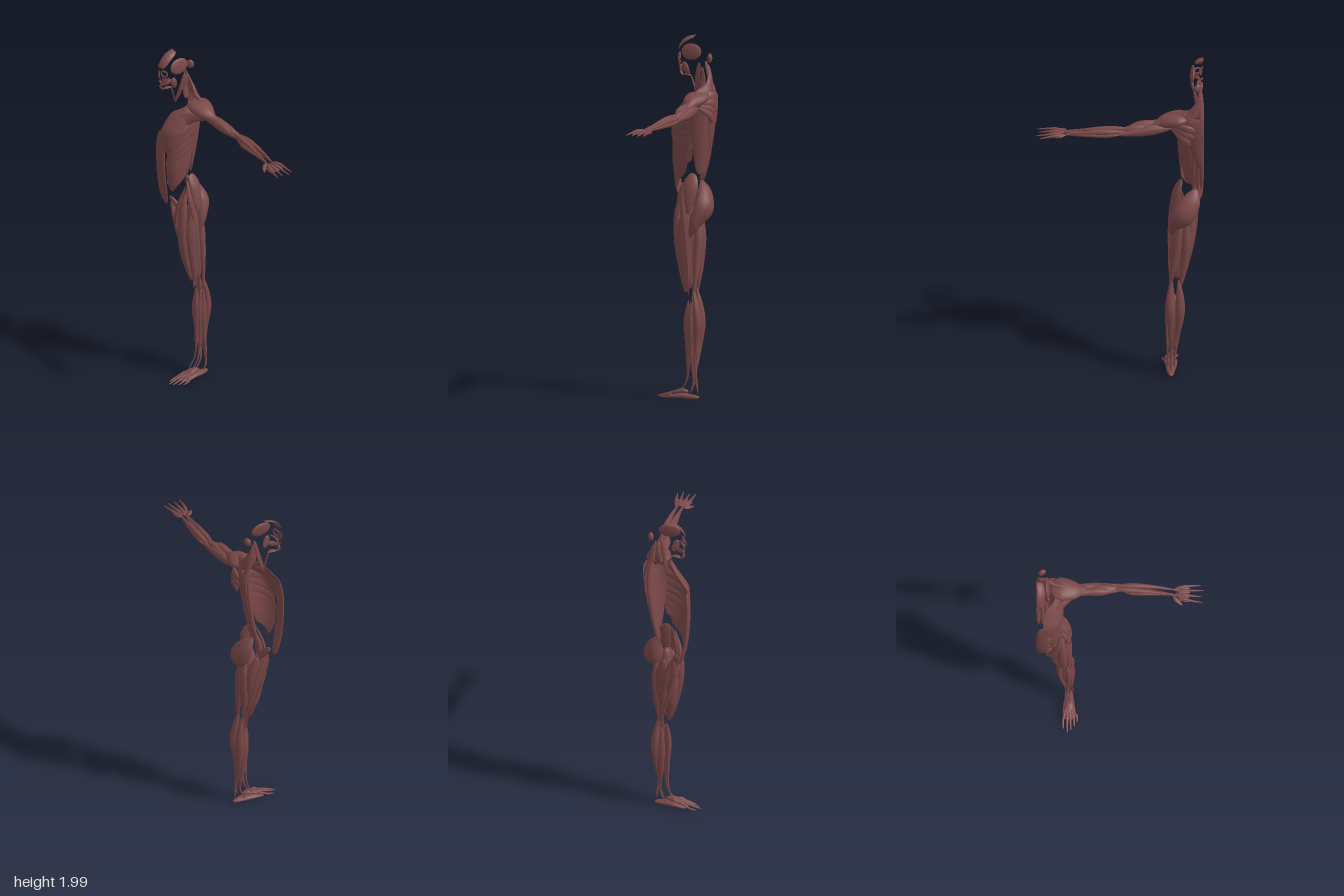
import * as THREE from 'three';

const MID = -0.467; // plane of the body's midline
const mat = new THREE.MeshStandardMaterial({ color: 0x7a4848, roughness: 0.8, side: THREE.DoubleSide });
const V = (x, y, z) => new THREE.Vector3(x, y, z);
const FRONT = [0, 0, 1], BACK = [0, 0, -1], OUT = [1, 0, 0], IN = [-1, 0, 0], UP = [0, 1, 0], DOWN = [0, -1, 0];

export function createModel() {
  const root = new THREE.Group();
  let group;
  const section = (name) => { group = new THREE.Group(); group.name = name; root.add(group); };
  const add = (name, geo) => {
    const mesh = new THREE.Mesh(geo, mat);
    mesh.name = name;
    group.add(mesh);
    return mesh;
  };

  // Smooth skin over n + 1 closed rings of m points each
  function rings(name, n, m, point) {
    const pos = [], idx = [];
    for (let i = 0; i <= n; i++) for (let j = 0; j < m; j++) {
      pos.push(...point(i, j).toArray());
      if (i < n) {
        const a = i * m + j, b = i * m + (j + 1) % m;
        idx.push(a, b, a + m, b, b + m, a + m);
      }
    }
    const geo = new THREE.BufferGeometry();
    geo.setAttribute('position', new THREE.Float32BufferAttribute(pos, 3));
    geo.setIndex(idx);
    geo.computeVertexNormals();
    return add(name, geo);
  }

  // Muscle belly: stations are [x, y, z, half width, half thickness]; "out" is the thickness direction
  function muscle(name, out, ...st) {
    const path = new THREE.CatmullRomCurve3(st.map((s) => V(s[0], s[1], s[2])));
    const size = new THREE.CatmullRomCurve3(st.map((s, i) => V(s[3], s[4], i * 0.05)));
    const n = 30, m = 14, o = V(...out);
    return rings(name, n, m, (i, j) => {
      const s = (1 - Math.cos(Math.PI * i / n)) / 2;
      const cap = Math.sqrt(Math.max(0, 1 - Math.abs(2 * s - 1) ** 8));
      const p = path.getPoint(s), r = size.getPoint(s), t = path.getTangent(s);
      const w = t.clone().cross(o).normalize(), d = w.clone().cross(t);
      const a = j / m * Math.PI * 2;
      return p.addScaledVector(w, Math.cos(a) * r.x * cap).addScaledVector(d, Math.sin(a) * r.y * cap);
    });
  }

  // Lens-shaped sheet lying on a surface; surf(u, v) gives [point, normal]
  function sheet(name, thick, surf, n = 18, h = 16) {
    return rings(name, n, 2 * h, (i, j) => {
      const u = (1 - Math.cos(Math.PI * i / n)) / 2;
      const v = (1 - Math.cos(Math.PI * (j <= h ? j : 2 * h - j) / h)) / 2;
      const fat = Math.sqrt(Math.max(0, Math.sin(Math.PI * u) * Math.sin(Math.PI * v)));
      const [p, nrm] = surf(u, v);
      return p.addScaledVector(nrm, (j <= h ? 1 : -1) * thick * fat);
    });
  }

  // Trunk envelope rows: height, front z, back z, half breadth
  const trunk = [[1.05, 0.07, -0.08, 0.1], [1.2, 0.1, -0.075, 0.12], [1.3, 0.113, -0.087, 0.127], [1.45, 0.115, -0.112, 0.138],
    [1.54, 0.107, -0.125, 0.145], [1.62, 0.052, -0.138, 0.148], [1.68, 0.003, -0.14, 0.13], [1.8, -0.02, -0.1, 0.06]];
  function trunkAt(y, a) { // a: 0 front midline, 1 back midline
    let k = 0;
    while (k < trunk.length - 2 && y > trunk[k + 1][0]) k++;
    const f = THREE.MathUtils.clamp((y - trunk[k][0]) / (trunk[k + 1][0] - trunk[k][0]), 0, 1);
    const [zf, zb, w] = [1, 2, 3].map((c) => THREE.MathUtils.lerp(trunk[k][c], trunk[k + 1][c], f));
    const s = Math.sin(a * Math.PI), c = Math.cos(a * Math.PI);
    return [V(MID + w * s ** 0.75, y, (zf + zb) / 2 + (zf - zb) / 2 * Math.sign(c) * Math.abs(c) ** 0.8), V(s, 0, c)];
  }
  const trunkSheet = (name, y0, y1, low, high, slant, thick) => sheet(name, thick, (u, v) => {
    const round = Math.sqrt(Math.max(0, 1 - Math.abs(2 * u - 1) ** 6));
    const a0 = low[0] + (high[0] - low[0]) * u, a1 = low[1] + (high[1] - low[1]) * u;
    const a = (a0 + a1) / 2 + (v - 0.5) * (a1 - a0) * (0.5 + 0.5 * round);
    return trunkAt(y0 + (y1 - y0) * u + slant * (v - 0.5), a);
  });

  section('head');
  sheet('foreheadMuscle', 0.004, (u, v) => {
    const e = 0.2 + 1.33 * u, b = 0.03 + (0.62 - 0.2 * Math.abs(2 * u - 1) ** 3) * v;
    const nrm = V(Math.sin(b), Math.cos(b) * Math.sin(e), Math.cos(b) * Math.cos(e));
    return [V(MID + 0.08 * nrm.x, 1.897 + 0.1 * nrm.y, -0.005 + 0.107 * nrm.z), nrm];
  });
  const blob = (name, p, r) => {
    const mesh = add(name, new THREE.SphereGeometry(1, 20, 14));
    mesh.position.set(...p);
    mesh.scale.set(...r);
    return mesh;
  };
  blob('templeMuscle', [-0.405, 1.913, 0], [0.012, 0.045, 0.06]).rotation.z = 0.15;
  blob('backOfHeadMuscle', [-0.43, 1.88, -0.1], [0.022, 0.026, 0.014]).rotation.y = 0.5;
  const eye = add('eyeRing', new THREE.TorusGeometry(0.018, 0.006, 8, 24));
  eye.position.set(-0.433, 1.88, 0.082);
  eye.rotation.y = 0.4;
  eye.scale.z = 0.6;
  const mouth = add('mouthRing', new THREE.TorusGeometry(0.016, 0.006, 8, 16, Math.PI));
  mouth.position.set(-0.465, 1.808, 0.088);
  mouth.rotation.z = -Math.PI / 2;
  muscle('noseMuscle', FRONT, [-0.461, 1.9, 0.096, 0.004, 0.003], [-0.455, 1.865, 0.1, 0.008, 0.004], [-0.452, 1.84, 0.093, 0.004, 0.003]);
  muscle('jawMuscle', OUT, [-0.403, 1.855, 0.045, 0.012, 0.006], [-0.405, 1.82, 0.035, 0.019, 0.009], [-0.413, 1.785, 0.02, 0.012, 0.005]);
  muscle('cheekMuscle', OUT, [-0.43, 1.825, 0.03, 0.012, 0.004], [-0.438, 1.815, 0.06, 0.015, 0.004], [-0.452, 1.81, 0.085, 0.008, 0.003]);
  for (let i = 0; i < 3; i++)
    muscle('smileMuscle', FRONT, [-0.41 - i * 0.013, 1.858, 0.06 + i * 0.013, 0.004, 0.003],
      [-0.427 - i * 0.006, 1.838, 0.079 + i * 0.006, 0.005, 0.003], [-0.445 - i * 0.003, 1.816, 0.088, 0.003, 0.003]);
  muscle('chinMuscle', FRONT, [-0.455, 1.797, 0.088, 0.008, 0.004], [-0.455, 1.782, 0.083, 0.011, 0.005], [-0.455, 1.77, 0.072, 0.007, 0.004]);
  muscle('underChinMuscle', DOWN, [-0.455, 1.775, 0.07, 0.008, 0.004], [-0.447, 1.778, 0.045, 0.013, 0.004], [-0.445, 1.772, 0.018, 0.006, 0.004]);

  section('neck');
  muscle('throatStrap', FRONT, [-0.45, 1.77, 0.02, 0.006, 0.003], [-0.45, 1.72, 0.004, 0.008, 0.003], [-0.45, 1.665, -0.01, 0.006, 0.003]);
  muscle('sideNeckStrap', OUT, [-0.41, 1.855, -0.045, 0.009, 0.006], [-0.422, 1.76, -0.028, 0.014, 0.009], [-0.45, 1.665, -0.008, 0.008, 0.005]);
  muscle('deepNeckMuscle', OUT, [-0.415, 1.83, -0.06, 0.008, 0.006], [-0.425, 1.76, -0.06, 0.016, 0.009], [-0.41, 1.69, -0.06, 0.02, 0.008]);
  muscle('backNeckMuscle', BACK, [-0.44, 1.86, -0.07, 0.014, 0.007], [-0.447, 1.78, -0.087, 0.016, 0.011], [-0.45, 1.65, -0.125, 0.014, 0.011], [-0.455, 1.52, -0.125, 0.008, 0.005]);
  muscle('upperShoulderMuscle', [0, 0.6, -1], [-0.45, 1.84, -0.083, 0.01, 0.005], [-0.432, 1.77, -0.1, 0.02, 0.01],
    [-0.395, 1.71, -0.105, 0.033, 0.014], [-0.335, 1.695, -0.09, 0.03, 0.012], [-0.28, 1.69, -0.08, 0.012, 0.006]);

  section('torso');
  muscle('bellyMuscle', FRONT, [-0.437, 1.53, 0.103, 0.026, 0.009], [-0.434, 1.42, 0.108, 0.034, 0.012], [-0.434, 1.27, 0.103, 0.035, 0.012],
    [-0.434, 1.15, 0.088, 0.034, 0.011], [-0.442, 1.055, 0.062, 0.022, 0.008]);
  trunkSheet('chestMuscle', 1.42, 1.675, [0.03, 0.36], [0.06, 0.45], 0.05, 0.011);
  muscle('chestToArmMuscle', [0.4, 0, 1], [-0.37, 1.58, 0.055, 0.03, 0.008], [-0.325, 1.62, 0.0, 0.035, 0.013], [-0.25, 1.64, -0.05, 0.015, 0.008]);
  for (let i = 0; i < 6; i++) // overlapping slips along the ribs
    trunkSheet('ribSlip', 1.25 + i * 0.05, 1.325 + i * 0.05, [0.16, 0.6], [0.18, 0.62], 0.11, 0.007);
  trunkSheet('flankMuscle', 1.19, 1.42, [0.2, 0.5], [0.14, 0.62], 0.06, 0.008);
  trunkSheet('broadBackMuscle', 1.24, 1.63, [0.7, 0.93], [0.45, 0.83], 0, 0.01);
  trunkSheet('midBackMuscle', 1.36, 1.7, [0.93, 0.99], [0.72, 0.99], 0, 0.011);
  for (let i = 0; i < 3; i++) {
    const x = -0.452 + i * 0.022;
    muscle('spineMuscle', BACK, [x, 1.19, -0.05, 0.008, 0.006], [x, 1.3, -0.074, 0.013, 0.013], [x, 1.45, -0.098, 0.013, 0.013], [x, 1.62, -0.11, 0.009, 0.009], [x - 0.002 * i, 1.7, -0.1, 0.004, 0.004]);
  }
  for (let i = 0; i < 3; i++) // fan over the shoulder blade
    muscle('shoulderBladeMuscle', BACK, [-0.425 + i * 0.02, 1.62 - i * 0.045, -0.137, 0.014, 0.006], [-0.37 + i * 0.01, 1.64 - i * 0.03, -0.14, 0.024, 0.012], [-0.285, 1.645 - i * 0.01, -0.1, 0.01, 0.008]);

  section('hip');
  muscle('buttockMuscle', [0.25, 0, -1], [-0.42, 1.2, -0.06, 0.025, 0.012], [-0.39, 1.13, -0.09, 0.055, 0.035], [-0.35, 1.06, -0.1, 0.066, 0.05], [-0.31, 0.99, -0.075, 0.045, 0.034], [-0.285, 0.9, -0.045, 0.012, 0.01]);
  muscle('sideHipMuscle', [1, 0, -0.2], [-0.345, 1.25, -0.035, 0.025, 0.006], [-0.318, 1.18, -0.04, 0.04, 0.018], [-0.298, 1.1, -0.038, 0.03, 0.016], [-0.285, 1.03, -0.035, 0.01, 0.008]);
  muscle('frontHipMuscle', OUT, [-0.335, 1.22, 0.0, 0.008, 0.006], [-0.303, 1.12, 0.005, 0.017, 0.012], [-0.28, 1.0, -0.01, 0.015, 0.008], [-0.272, 0.8, -0.03, 0.012, 0.004], [-0.277, 0.58, -0.045, 0.006, 0.003]);
  muscle('groinMuscle', FRONT, [-0.43, 1.1, 0.045, 0.014, 0.007], [-0.39, 1.05, 0.025, 0.02, 0.012], [-0.345, 0.97, -0.01, 0.012, 0.01]);

  section('thigh');
  muscle('frontThighMuscle', FRONT, [-0.33, 1.17, 0.01, 0.008, 0.007], [-0.325, 1.03, 0.04, 0.025, 0.022], [-0.325, 0.87, 0.04, 0.027, 0.024], [-0.318, 0.72, 0.018, 0.02, 0.016], [-0.308, 0.6, -0.004, 0.01, 0.005]);
  muscle('outerThighMuscle', OUT, [-0.295, 1.06, -0.02, 0.02, 0.012], [-0.296, 0.93, -0.005, 0.042, 0.027], [-0.297, 0.78, -0.012, 0.036, 0.025], [-0.292, 0.66, -0.02, 0.022, 0.015], [-0.297, 0.59, -0.015, 0.009, 0.006]);
  muscle('innerThighMuscle', [-1, 0, 0.5], [-0.34, 1.02, 0.01, 0.012, 0.012], [-0.36, 0.88, 0.01, 0.032, 0.027], [-0.355, 0.74, 0.0, 0.027, 0.021], [-0.335, 0.65, -0.012, 0.018, 0.013], [-0.322, 0.59, -0.018, 0.008, 0.006]);
  muscle('deepThighMuscle', FRONT, [-0.33, 1.08, -0.03, 0.03, 0.03], [-0.335, 0.9, -0.03, 0.045, 0.045], [-0.325, 0.72, -0.03, 0.028, 0.03], [-0.312, 0.61, -0.035, 0.014, 0.014]);
  muscle('diagonalThighStrap', [-0.4, 0, 1], [-0.325, 1.2, 0.015, 0.008, 0.005], [-0.352, 1.07, 0.052, 0.014, 0.009], [-0.4, 0.92, 0.028, 0.015, 0.009], [-0.385, 0.76, -0.02, 0.014, 0.009], [-0.35, 0.62, -0.05, 0.01, 0.006], [-0.33, 0.53, -0.045, 0.007, 0.004]);
  muscle('longInnerMuscle', IN, [-0.435, 1.07, 0.03, 0.01, 0.007], [-0.41, 0.97, 0.01, 0.03, 0.018], [-0.385, 0.87, -0.015, 0.032, 0.022], [-0.35, 0.72, -0.04, 0.012, 0.01]);
  muscle('greatInnerMuscle', IN, [-0.42, 1.06, -0.03, 0.015, 0.012], [-0.395, 0.95, -0.04, 0.04, 0.026], [-0.38, 0.83, -0.045, 0.035, 0.024], [-0.345, 0.63, -0.05, 0.008, 0.007]);
  muscle('slenderInnerStrap', IN, [-0.437, 1.06, 0.01, 0.014, 0.004], [-0.42, 0.92, -0.025, 0.019, 0.007], [-0.392, 0.77, -0.045, 0.013, 0.007], [-0.345, 0.61, -0.062, 0.006, 0.005], [-0.33, 0.53, -0.045, 0.005, 0.004]);
  muscle('outerHamstring', BACK, [-0.345, 1.04, -0.08, 0.01, 0.01], [-0.322, 0.9, -0.083, 0.026, 0.024], [-0.305, 0.76, -0.08, 0.024, 0.02], [-0.288, 0.64, -0.076, 0.012, 0.01], [-0.273, 0.54, -0.065, 0.006, 0.005]);
  muscle('innerHamstring', BACK, [-0.365, 1.04, -0.08, 0.01, 0.01], [-0.367, 0.9, -0.084, 0.026, 0.022], [-0.358, 0.75, -0.078, 0.023, 0.02], [-0.342, 0.64, -0.075, 0.01, 0.009], [-0.335, 0.53, -0.06, 0.005, 0.005]);

  section('lowerLeg');
  for (const [name, x0, x1, x2, low] of [['innerCalf', -0.325, -0.333, -0.318, 0.28], ['outerCalf', -0.29, -0.28, -0.282, 0.31]])
    muscle(name, BACK, [x0, 0.62, -0.07, 0.008, 0.006], [x1, 0.51, -0.088, 0.023, 0.018], [x1, 0.42, -0.095, 0.026, 0.023], [x2, low, -0.09, 0.015, 0.012], [-0.29, 0.17, -0.088, 0.005, 0.004]);
  muscle('deepCalf', BACK, [-0.29, 0.54, -0.06, 0.015, 0.012], [-0.305, 0.41, -0.072, 0.043, 0.025], [-0.3, 0.28, -0.075, 0.033, 0.022], [-0.285, 0.15, -0.083, 0.009, 0.008], [-0.285, 0.04, -0.097, 0.008, 0.005]);
  muscle('shinMuscle', FRONT, [-0.295, 0.55, -0.035, 0.008, 0.006], [-0.288, 0.43, -0.026, 0.018, 0.016], [-0.291, 0.28, -0.03, 0.012, 0.011], [-0.298, 0.12, -0.024, 0.005, 0.004], [-0.312, 0.045, 0.01, 0.005, 0.004]);
  muscle('toeLiftMuscle', OUT, [-0.277, 0.54, -0.045, 0.007, 0.006], [-0.27, 0.4, -0.04, 0.014, 0.01], [-0.275, 0.22, -0.045, 0.01, 0.007], [-0.283, 0.09, -0.025, 0.004, 0.003], [-0.28, 0.045, 0.02, 0.004, 0.003]);
  muscle('outerShinMuscle', OUT, [-0.27, 0.55, -0.06, 0.007, 0.006], [-0.261, 0.41, -0.06, 0.016, 0.01], [-0.264, 0.25, -0.065, 0.011, 0.008], [-0.265, 0.1, -0.078, 0.005, 0.004], [-0.26, 0.03, -0.055, 0.004, 0.003]);
  muscle('innerShinMuscle', IN, [-0.328, 0.53, -0.055, 0.008, 0.006], [-0.336, 0.4, -0.06, 0.022, 0.014], [-0.321, 0.24, -0.065, 0.014, 0.01], [-0.302, 0.1, -0.07, 0.006, 0.005], [-0.307, 0.03, -0.04, 0.005, 0.004]);

  section('foot');
  muscle('soleMuscle', UP, [-0.285, 0.016, -0.105, 0.012, 0.01], [-0.284, 0.017, -0.06, 0.022, 0.013], [-0.287, 0.02, 0.0, 0.032, 0.015], [-0.287, 0.014, 0.06, 0.036, 0.009], [-0.287, 0.012, 0.085, 0.026, 0.006]);
  muscle('topOfFootMuscle', UP, [-0.28, 0.045, -0.04, 0.012, 0.01], [-0.285, 0.047, 0.0, 0.022, 0.013], [-0.288, 0.036, 0.04, 0.028, 0.01], [-0.288, 0.022, 0.075, 0.024, 0.006]);
  [[-0.322, 0.135], [-0.3, 0.157], [-0.281, 0.145], [-0.262, 0.125], [-0.246, 0.1]].forEach(([x, tip], i) => {
    const b = -0.3 + i * 0.007;
    muscle('toeTendon', UP, [b, 0.05, 0.0, 0.004, 0.003], [(b + x) / 2, 0.038, 0.05, 0.006, 0.005], [x, 0.018, tip - 0.04, 0.006, 0.005], [x, 0.008, tip, 0.004, 0.003]);
  });

  section('arm');
  muscle('shoulderCap', UP, [-0.385, 1.685, -0.075, 0.05, 0.014], [-0.325, 1.675, -0.075, 0.068, 0.034], [-0.26, 1.657, -0.073, 0.054, 0.036], [-0.21, 1.642, -0.078, 0.026, 0.023], [-0.165, 1.632, -0.085, 0.01, 0.01]);
  muscle('frontUpperArmMuscle', FRONT, [-0.29, 1.65, -0.045, 0.01, 0.01], [-0.19, 1.635, -0.068, 0.024, 0.02], [-0.11, 1.627, -0.072, 0.028, 0.023], [-0.04, 1.61, -0.08, 0.014, 0.012], [0.03, 1.602, -0.085, 0.005, 0.005]);
  muscle('deepUpperArmMuscle', UP, [-0.18, 1.63, -0.095, 0.012, 0.012], [-0.08, 1.622, -0.09, 0.024, 0.022], [0.01, 1.602, -0.093, 0.01, 0.01]);
  muscle('backUpperArmMuscle', BACK, [-0.3, 1.625, -0.095, 0.012, 0.01], [-0.19, 1.618, -0.1, 0.03, 0.024], [-0.11, 1.608, -0.105, 0.027, 0.023], [-0.04, 1.602, -0.112, 0.015, 0.012], [0.01, 1.6, -0.118, 0.009, 0.006]);
  muscle('thumbSideForearm', FRONT, [-0.06, 1.62, -0.09, 0.009, 0.008], [0.04, 1.615, -0.08, 0.017, 0.015], [0.12, 1.61, -0.073, 0.015, 0.013], [0.2, 1.602, -0.064, 0.008, 0.007], [0.31, 1.59, -0.05, 0.004, 0.004]);
  muscle('palmSideForearm', DOWN, [-0.02, 1.598, -0.092, 0.008, 0.008], [0.07, 1.595, -0.077, 0.021, 0.017], [0.16, 1.594, -0.07, 0.018, 0.012], [0.24, 1.588, -0.063, 0.01, 0.008], [0.32, 1.582, -0.05, 0.005, 0.004]);
  muscle('backSideForearm', UP, [-0.03, 1.612, -0.108, 0.008, 0.008], [0.07, 1.61, -0.105, 0.016, 0.017], [0.15, 1.607, -0.1, 0.012, 0.013], [0.22, 1.6, -0.094, 0.007, 0.008], [0.3, 1.592, -0.082, 0.004, 0.003]);
  muscle('littleFingerSideForearm', DOWN, [0, 1.598, -0.12, 0.007, 0.007], [0.08, 1.592, -0.107, 0.016, 0.014], [0.18, 1.59, -0.1, 0.01, 0.01], [0.3, 1.585, -0.083, 0.004, 0.004]);

  section('hand');
  [[-0.108, 0.44], [-0.078, 0.457], [-0.042, 0.442], [-0.008, 0.447]].forEach(([z, tip], i) => {
    const b = -0.088 + i * 0.013, k = -0.1 + i * 0.024;
    muscle('fingerMuscle', UP, [0.3, 1.592, b, 0.004, 0.003], [0.345, 1.591, k, 0.009, 0.007], [0.385, 1.585, (k + z) / 2, 0.006, 0.006], [tip, 1.578, z, 0.003, 0.003]);
    muscle('palmMuscle', UP, [0.31, 1.58, b, 0.006, 0.004], [0.35, 1.58, k + 0.006, 0.008, 0.005], [0.38, 1.576, k + 0.008, 0.004, 0.003]);
  });
  muscle('thumbMuscle', UP, [0.285, 1.588, -0.05, 0.005, 0.004], [0.3, 1.582, -0.03, 0.012, 0.009], [0.318, 1.577, -0.012, 0.009, 0.006], [0.338, 1.57, 0.003, 0.003, 0.003]);
  muscle('thumbBaseMuscle', UP, [0.3, 1.585, -0.065, 0.007, 0.005], [0.325, 1.582, -0.045, 0.012, 0.008], [0.325, 1.577, -0.02, 0.006, 0.005]);
  muscle('heelOfHandMuscle', UP, [0.29, 1.585, -0.082, 0.007, 0.005], [0.325, 1.583, -0.097, 0.011, 0.008], [0.36, 1.58, -0.1, 0.005, 0.004]);
  return root;
}
